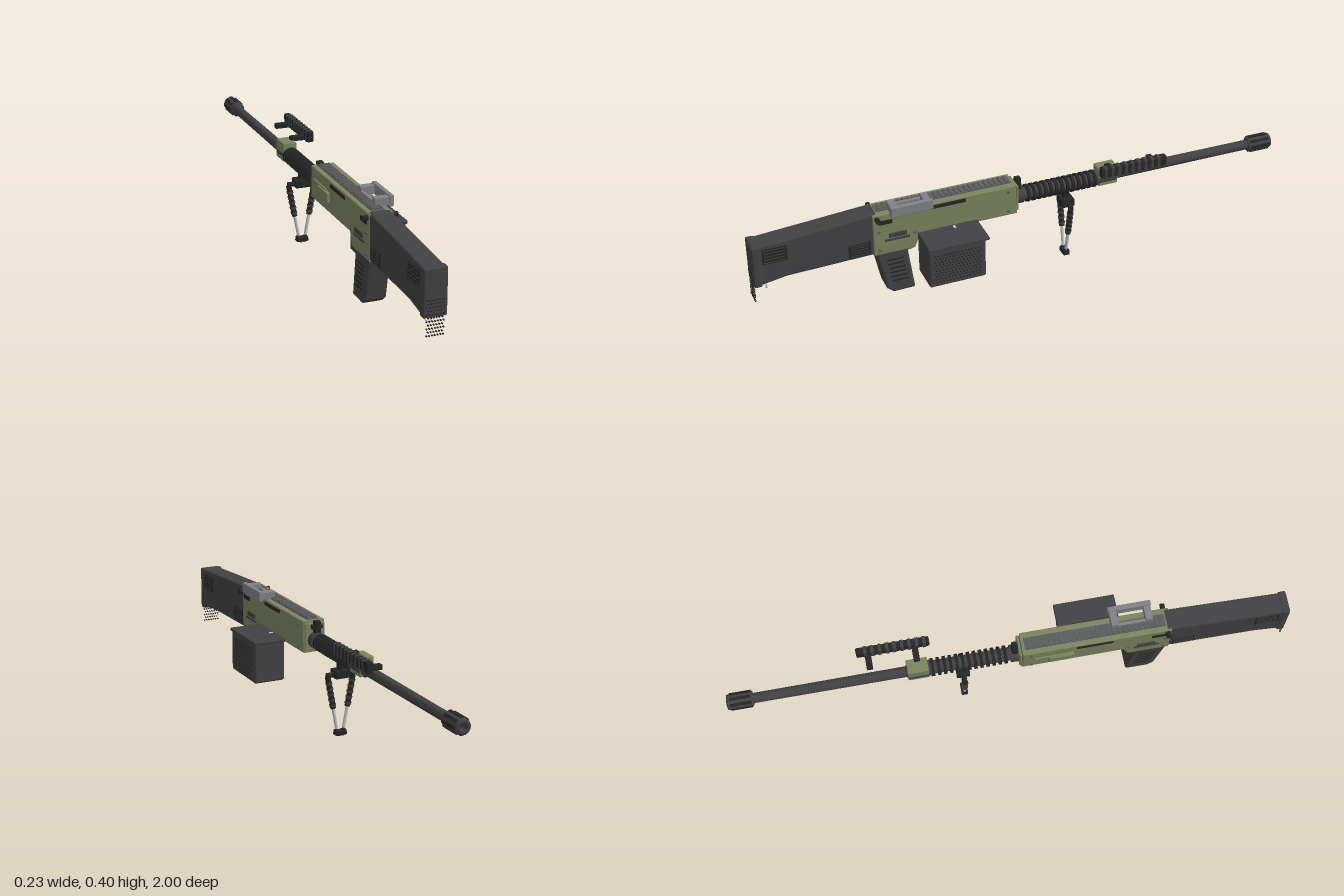
import * as THREE from 'three';
import { RoundedBoxGeometry } from 'three/addons/geometries/RoundedBoxGeometry.js';
import { mergeGeometries } from 'three/addons/utils/BufferGeometryUtils.js';

const CX = -0.053; // centre plane of the gun
const BY = 0.3;    // height of the bore

export function createModel() {
  const root = new THREE.Group();
  const material = (name, color) => {
    const m = new THREE.MeshStandardMaterial({ color });
    m.name = name;
    return m;
  };
  const dark = material('dark polymer', 0x424244);
  const black = material('black detail', 0x262627);
  const green = material('olive metal', 0x7c845f);
  const grey = material('mid grey', 0x818287);
  const rail = material('rail grey', 0x5c5d5f);
  const steel = material('bright steel', 0xc6c8ca);

  const add = (name, geo, mat) => {
    const m = new THREE.Mesh(geo, mat);
    m.name = name;
    root.add(m);
    return m;
  };
  // Box given by its limits on each axis
  const boxGeo = (x0, x1, y0, y1, z0, z1, r = 0) => {
    const s = [x1 - x0, y1 - y0, z1 - z0];
    const g = r ? new RoundedBoxGeometry(...s, 2, r) : new THREE.BoxGeometry(...s);
    return g.translate((x0 + x1) / 2, (y0 + y1) / 2, (z0 + z1) / 2);
  };
  const box = (name, mat, ...limits) => add(name, boxGeo(...limits), mat);
  // Side outline in (z, y), extruded across x
  const profile = (name, mat, pts, x0, x1, bevel) => {
    const shape = new THREE.Shape(pts.map(p => new THREE.Vector2(...p)));
    const g = new THREE.ExtrudeGeometry(shape, {
      depth: x1 - x0 - 2 * bevel, bevelEnabled: bevel > 0, bevelSize: bevel,
      bevelOffset: -bevel, bevelThickness: bevel, bevelSegments: 2,
    });
    g.rotateY(-Math.PI / 2).translate(x1 - bevel, 0, 0);
    return add(name, g, mat);
  };
  // Round bar between two points
  const rodGeo = (a, b, r0, r1 = r0, sides = 16) => {
    const p = new THREE.Vector3(...a), q = new THREE.Vector3(...b);
    const d = q.clone().sub(p);
    const g = new THREE.CylinderGeometry(r1, r0, d.length(), sides);
    g.applyQuaternion(new THREE.Quaternion().setFromUnitVectors(new THREE.Vector3(0, 1, 0), d.normalize()));
    return g.translate(...p.add(q).multiplyScalar(0.5).toArray());
  };
  const rod = (name, mat, ...args) => add(name, rodGeo(...args), mat);

  // Stock, butt pad and side vents
  profile('stock', dark, [[0.99, 0.182], [0.99, 0.342], [0.555, 0.373], [0.555, 0.208], [0.88, 0.2]], -0.091, -0.014, 0.008);
  box('buttPad', dark, -0.094, -0.011, 0.18, 0.345, 0.968, 0.998, 0.007);
  for (const x of [-0.0915, -0.0135]) {
    for (const [z0, z1, y0, y1] of [[0.875, 0.962, 0.268, 0.328], [0.58, 0.66, 0.217, 0.268]]) {
      box('stockVent', black, x - 0.001, x + 0.001, y0, y1, z0, z1);
      const slats = [];
      for (let i = 0; i < 5; i++) {
        const y = y0 + (y1 - y0) * (i + 0.5) / 5;
        slats.push(boxGeo(x - 0.002, x + 0.002, y - 0.0015, y + 0.0015, z0 + 0.006, z1 - 0.006));
      }
      add('ventSlats', mergeGeometries(slats), dark);
    }
  }
  // Rows of small studs at the butt
  const studs = [];
  for (let r = 0; r < 11; r++) {
    for (let i = 0; i < 7 - (r % 2); i++) {
      const x = CX + (i - (6 - (r % 2)) / 2) * 0.0095, y = 0.121 + r * 0.0118;
      studs.push(rodGeo([x, y, 0.994], [x, y, 0.9995], 0.0028, 0.0028, 6));
    }
  }
  add('buttStuds', mergeGeometries(studs), black);
  add('slingRing', new THREE.TorusGeometry(0.014, 0.002, 6, 24).translate(CX, 0.163, 0.95), steel);
  box('slingMount', black, CX - 0.005, CX + 0.005, 0.174, 0.2, 0.943, 0.957);

  // Receiver
  profile('receiver', green, [[0.57, 0.205], [0.57, 0.37], [0.04, 0.37], [0.035, 0.253], [0.4, 0.253], [0.42, 0.205]], -0.094, -0.008, 0.004);
  box('receiverFrontPlate', green, -0.09, -0.012, 0.262, 0.362, 0.028, 0.037, 0.003);
  box('topRail', rail, -0.075, -0.031, 0.366, 0.374, 0.05, 0.55);
  const teeth = [];
  for (let i = 0; i < 26; i++) teeth.push(boxGeo(-0.072, -0.034, 0.373, 0.379, 0.06 + i * 0.0188, 0.069 + i * 0.0188));
  add('railTeeth', mergeGeometries(teeth), rail);
  for (const s of [-1, 1]) {
    const x = CX + 0.002 + s * 0.044;
    box('receiverSlot', black, x - 0.002, x + 0.002, 0.35, 0.363, 0.23, 0.36);
    box('selectorPlate', dark, x - 0.003, x + 0.003, 0.258, 0.265, 0.44, 0.53);
    box('selector', dark, x - 0.004, x + 0.004, 0.27, 0.288, 0.45, 0.515, 0.002);
    for (const [z, y] of [[0.07, 0.27], [0.07, 0.35], [0.42, 0.27], [0.55, 0.225], [0.55, 0.3]])
      rod('receiverPin', rail, [x - 0.003, y, z], [x + 0.003, y, z], 0.005);
    box('rearLatch', black, x - 0.003, x + 0.003, 0.33, 0.345, 0.5, 0.55);
  }
  box('sidePod', green, -0.107, -0.09, 0.29, 0.328, 0.13, 0.22, 0.004);
  rod('podPin', green, [-0.1, 0.333, 0.08], [-0.1, 0.333, 0.2], 0.004);
  rod('crossBar', black, [-0.114, 0.355, 0.555], [0.012, 0.355, 0.555], 0.009);

  // Grip with ribs, trigger and guard
  profile('grip', dark, [[0.562, 0.215], [0.448, 0.215], [0.424, 0.035], [0.505, 0.033], [0.528, 0.052]], -0.093, -0.012, 0.007);
  for (const x of [-0.093, -0.012]) {
    for (let i = 0; i < 6; i++) {
      const y = 0.08 + i * 0.018, z = 0.478 + i * 0.0035;
      box('gripGroove', black, x - 0.001, x + 0.001, y, y + 0.006, z - 0.03, z + 0.03);
    }
  }
  add('triggerGuard', new THREE.TorusGeometry(0.024, 0.004, 8, 20, Math.PI).rotateZ(Math.PI).rotateY(Math.PI / 2).translate(CX, 0.2, 0.43), green);
  box('trigger', steel, CX - 0.005, CX + 0.005, 0.185, 0.21, 0.432, 0.438);

  // Ammunition box with lid and perforated side
  box('ammoBox', dark, -0.012, 0.109, 0.102, 0.255, 0.2, 0.41, 0.008);
  box('ammoLid', dark, -0.012, 0.115, 0.253, 0.265, 0.187, 0.41, 0.004);
  box('ammoLidClip', steel, 0.0, 0.015, 0.264, 0.267, 0.275, 0.283);
  const dots = [];
  for (let r = 0; r < 10; r++) {
    for (let i = 0; i < 14; i++) {
      const y = 0.122 + r * 0.012, z = 0.222 + i * 0.0125 + (r % 2) * 0.005;
      dots.push(rodGeo([0.106, y, z], [0.1115, y, z], 0.003, 0.003, 6));
    }
  }
  add('ammoBoxHoles', mergeGeometries(dots), black);

  // Carrying handle on top
  for (const z of [0.36, 0.482]) box('topHandleArm', grey, -0.05, 0.006, 0.368, 0.399, z, z + 0.026, 0.003);
  box('topHandleGrip', grey, 0.001, 0.019, 0.364, 0.404, 0.357, 0.511, 0.004);
  box('topHandleRail', grey, -0.05, -0.038, 0.368, 0.385, 0.36, 0.508, 0.003);

  // Barrel, taper and muzzle as one turned profile
  const turned = [[0.031, 0.035], [0.031, 0.0], [0.024, 0.0], [0.024, -0.28], [0.028, -0.28], [0.028, -0.36], [0.019, -0.37], [0.018, -0.91]];
  const flat = turned.slice(1).map(([r, z], i) => rodGeo([CX, BY, turned[i][1]], [CX, BY, z - 1e-4], turned[i][0], r, 24));
  add('barrel', mergeGeometries(flat), dark);
  for (let i = 0; i < 13; i++) {
    const z = -0.012 - i * 0.0215;
    rod('coolingRing', black, [CX, BY, z], [CX, BY, z - 0.011], 0.032, 0.032, 20);
  }
  // Muzzle brake: hollow tube with ribs
  const brake = [[0.012, 0.94], [0.012, 0.998], [0.018, 1], [0.026, 0.998], [0.028, 0.993], [0.028, 0.91], [0.018, 0.905]]
    .map(p => new THREE.Vector2(...p));
  add('muzzleBrake', new THREE.LatheGeometry(brake.reverse(), 24).rotateX(-Math.PI / 2).translate(CX, BY, 0), black).material = dark;
  rod('bore', black, [CX, BY, -0.93], [CX, BY, -0.945], 0.013);
  for (let i = 0; i < 8; i++) {
    const g = boxGeo(-0.005, 0.005, 0.026, 0.031, -0.988, -0.913).rotateZ(i * Math.PI / 4);
    add('muzzleRib', g.translate(CX, BY, 0), black);
  }

  // Rear barrel post
  box('barrelPost', black, CX - 0.012, CX + 0.012, 0.32, 0.374, 0.006, 0.028, 0.004);
  rod('postKnob', black, [CX - 0.02, 0.352, 0.017], [CX + 0.02, 0.352, 0.017], 0.009);

  // Gas block and forward side handle
  box('gasBlock', green, -0.08, -0.027, 0.276, 0.346, -0.365, -0.29, 0.004);
  box('sideHandle', black, 0.01, 0.034, 0.345, 0.385, -0.53, -0.272, 0.005);
  for (let i = 0; i < 9; i++)
    box('handleRib', dark, 0.008, 0.036, 0.344, 0.386, -0.505 + i * 0.026, -0.492 + i * 0.026, 0.003);
  for (const z of [-0.325, -0.49]) box('sideHandleArm', black, -0.04, 0.014, 0.342, 0.361, z - 0.011, z + 0.011, 0.003);

  // Bipod: clamp and two mirrored legs
  box('bipodMount', black, CX - 0.03, CX + 0.03, 0.218, 0.248, -0.195, -0.147, 0.004);
  box('bipodStem', black, CX - 0.01, CX + 0.01, 0.24, 0.285, -0.18, -0.16);
  for (const s of [-1, 1]) {
    const at = t => [CX + s * (0.05 - 0.038 * t), 0.225 - 0.205 * t, -0.17];
    rod('bipodPivot', black, [CX, 0.23, -0.17], [CX + s * 0.054, 0.23, -0.17], 0.009);
    rod('bipodLeg', black, at(0), at(0.58), 0.01);
    for (let i = 0; i < 5; i++) rod('legCollar', dark, at(0.1 + i * 0.1), at(0.14 + i * 0.1), 0.012);
    rod('legTube', steel, at(0.56), at(0.96), 0.006);
    const foot = box('bipodFoot', black, -0.011, 0.011, -0.01, 0.01, -0.012, 0.012, 0.003);
    foot.position.set(CX + s * 0.011, 0.0125, -0.17);
    foot.rotation.z = s * 0.2;
  }
  return root;
}
